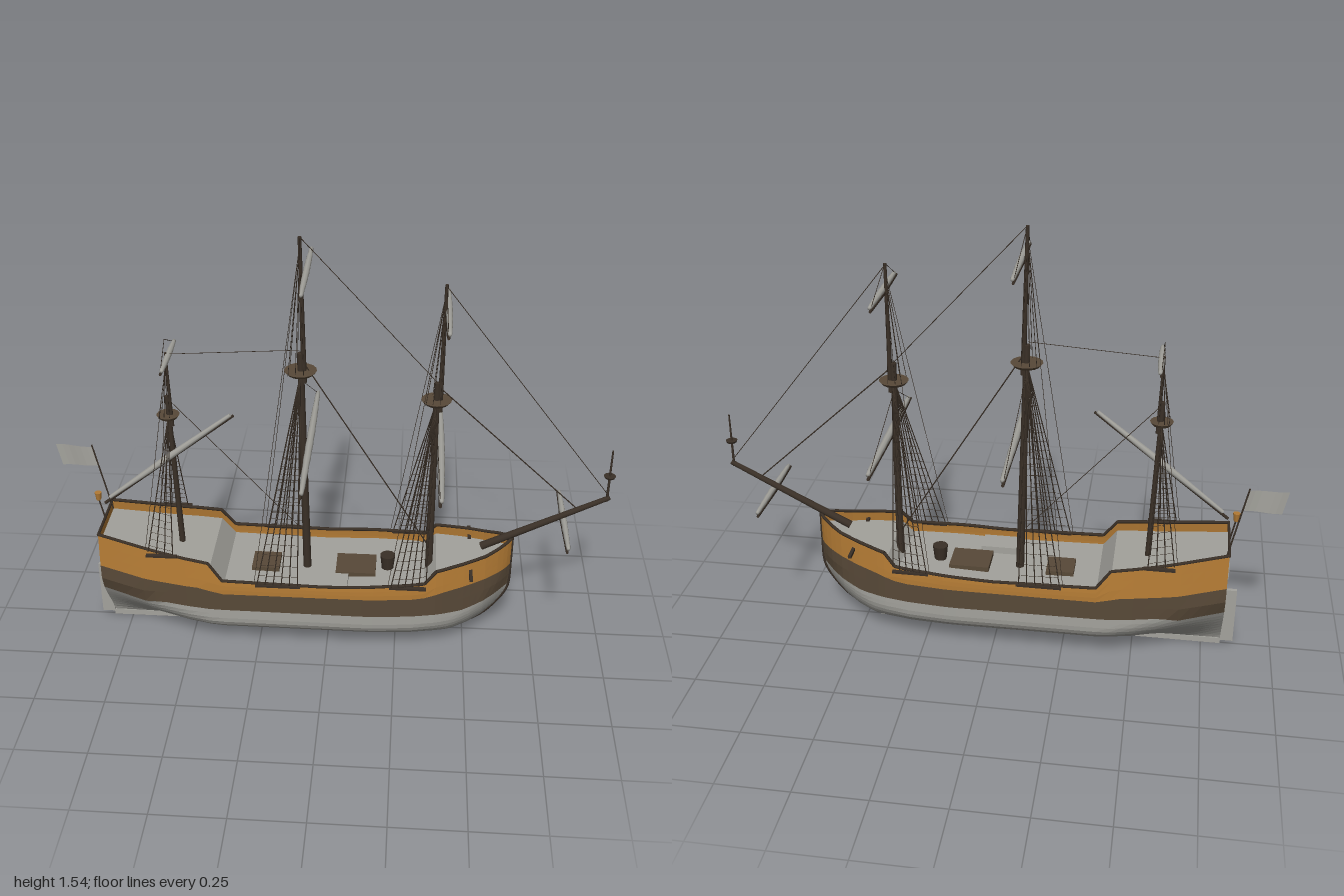
import * as THREE from 'three';
import { mergeGeometries } from 'three/addons/utils/BufferGeometryUtils.js';

const mat = (name, color, side = THREE.DoubleSide) => {
  const m = new THREE.MeshStandardMaterial({ color, side });
  m.name = name;
  return m;
};
const V = (x, y, z) => new THREE.Vector3(x, y, z);

// Linear interpolation through [x, value] pairs
const curve = (pts) => (x) => {
  for (let i = 1; i < pts.length; i++) {
    const [x0, a] = pts[i - 1], [x1, b] = pts[i];
    if (x <= x1) return a + (b - a) * Math.max(0, (x - x0) / (x1 - x0));
  }
  return pts[pts.length - 1][1];
};

// Hull lines, stern at -x and bow at +x
const STERN = -0.82, BOW = 0.66;
const rail = curve([[-0.82, 0.44], [-0.6, 0.4], [-0.42, 0.375], [-0.37, 0.308], [0, 0.3], [0.35, 0.315], [0.39, 0.362], [0.57, 0.39], [0.66, 0.42]]);
const goldLow = curve([[-0.82, 0.315], [-0.65, 0.285], [-0.45, 0.275], [-0.38, 0.255], [0.34, 0.255], [0.42, 0.275], [0.66, 0.31]]);
const darkLow = curve([[-0.82, 0.205], [-0.66, 0.18], [-0.6, 0.195], [-0.42, 0.185], [0.3, 0.18], [0.48, 0.18], [0.66, 0.22]]);
const keelY = curve([[-0.82, 0.018], [0.45, 0.018], [0.52, 0.045], [0.57, 0.08], [0.61, 0.125], [0.64, 0.17], [0.66, 0.22]]);
const beam = curve([[-0.82, 0.133], [-0.65, 0.162], [-0.5, 0.183], [-0.4, 0.191], [0.15, 0.191], [0.3, 0.177], [0.4, 0.158], [0.5, 0.122], [0.57, 0.088], [0.62, 0.053], [0.65, 0.022], [0.66, 0.004]]);
const turn = curve([[-0.82, 0.27], [-0.6, 0.18], [-0.4, 0.125], [0.3, 0.125], [0.66, 0.16]]);
const power = curve([[-0.82, 1.3], [-0.5, 0.85], [0.66, 0.75]]);
const halfBeam = (x, y) => {
  const u = Math.min(1, Math.max(0, (y - keelY(x)) / turn(x)));
  return beam(x) * Math.sin(Math.PI / 2 * u ** power(x)) * (1 - 0.6 * Math.max(0, y - 0.28));
};
const deckY = (x) => rail(x) - 0.042;

// Faceted surface from a rule f(u, v) -> [x, y, z]
function surface(f, us, vs) {
  const pos = [];
  for (let i = 0; i < us.length - 1; i++) for (let j = 0; j < vs.length - 1; j++) {
    const a = f(us[i], vs[j]), b = f(us[i + 1], vs[j]), c = f(us[i + 1], vs[j + 1]), d = f(us[i], vs[j + 1]);
    pos.push(...a, ...b, ...c, ...a, ...c, ...d);
  }
  const g = new THREE.BufferGeometry();
  g.setAttribute('position', new THREE.Float32BufferAttribute(pos, 3));
  g.computeVertexNormals();
  return g;
}
const steps = (a, b, n) => Array.from({ length: n + 1 }, (_, i) => a + (b - a) * i / n);

// Tapered round bar between two points
function bar(a, b, r0, r1 = r0, sides = 8) {
  const d = b.clone().sub(a);
  const g = new THREE.CylinderGeometry(r1, r0, d.length(), sides);
  g.applyQuaternion(new THREE.Quaternion().setFromUnitVectors(V(0, 1, 0), d.normalize()));
  const c = a.clone().add(b).multiplyScalar(0.5);
  return g.translate(c.x, c.y, c.z);
}

export function createModel() {
  const grey = mat('pale grey', 0xa3a29c);
  const gold = mat('ochre', 0xb27a34);
  const brown = mat('dark brown', 0x584938);
  const dark = mat('black brown', 0x3a3027);
  const root = new THREE.Group();
  root.name = 'sailingShip';
  const add = (name, geo, material, x = 0, y = 0, z = 0) => {
    const m = new THREE.Mesh(geo, material);
    m.name = name;
    m.position.set(x, y, z);
    root.add(m);
    return m;
  };
  const box = (name, m, w, h, d, x, y, z) => add(name, new THREE.BoxGeometry(w, h, d), m, x, y, z);

  // Hull in three painted bands, each with both sides and its piece of transom
  const stations = [...steps(STERN, -0.42, 10), ...steps(-0.37, 0.35, 16), ...steps(0.39, 0.59, 8), 0.61, 0.63, 0.645, 0.655, BOW];
  const band = (name, lo, hi, rows, m) => {
    const yAt = (x, v) => { const l = Math.max(lo(x), keelY(x)); return l + (Math.max(hi(x), l) - l) * v; };
    const vs = steps(0, 1, rows);
    const parts = [1, -1].map((s) => surface((x, v) => {
      const y = yAt(x, v);
      return [x, y, s * halfBeam(x, y)];
    }, s > 0 ? stations : [...stations].reverse(), vs));
    parts.push(surface((u, v) => {
      const y = yAt(STERN, v);
      return [STERN, y, u * halfBeam(STERN, y)];
    }, [-1, 0, 1], vs));
    add(name, mergeGeometries(parts), m);
  };
  band('lowerHull', keelY, darkLow, 9, grey);
  band('hullWale', darkLow, goldLow, 2, brown);
  band('upperHull', goldLow, rail, 3, gold);
  add('deck', surface((x, u) => [x, deckY(x), u * (halfBeam(x, deckY(x)) - 0.003)], stations, [1, -1]), grey);

  // Rail cap, keel, stem and rudder
  const cap = [1, -1].flatMap((s) => stations.slice(1).map((x, i) => {
    const p = (t) => V(t, rail(t), s * (halfBeam(t, rail(t)) - 0.004));
    return bar(p(stations[i]), p(x), 0.006, 0.006, 6);
  }));
  const sw = halfBeam(STERN, 0.44);
  cap.push(bar(V(STERN, 0.44, -sw), V(STERN, 0.44, sw), 0.005, 0.005, 6));
  add('railCap', mergeGeometries(cap), dark);
  box('keel', grey, 1.27, 0.022, 0.012, -0.185, 0.011, 0);
  const stem = [0.45, 0.52, 0.57, 0.61, 0.64, 0.657].map((x) => V(x, keelY(x), 0)).concat(V(0.66, 0.32, 0), V(0.66, 0.42, 0));
  add('stem', new THREE.TubeGeometry(new THREE.CatmullRomCurve3(stem), 24, 0.006, 6), dark);
  box('rudder', grey, 0.046, 0.215, 0.014, -0.842, 0.123, 0);
  for (let i = -1.5; i <= 1.5; i++) box('sternWindow', grey, 0.006, 0.045, 0.034, STERN - 0.002, 0.355, i * 0.052);

  // Deck fittings
  box('aftHatch', brown, 0.1, 0.02, 0.1, -0.23, deckY(-0.23) + 0.006, 0);
  box('mainHatch', brown, 0.145, 0.02, 0.12, 0.1, deckY(0.1) + 0.006, 0);
  box('deckChest', grey, 0.15, 0.03, 0.085, 0, deckY(0) + 0.012, 0.118);
  add('capstan', new THREE.CylinderGeometry(0.028, 0.022, 0.055, 10), dark, 0.215, deckY(0.215) + 0.027, 0);
  for (const s of [1, -1]) {
    box('cathead', dark, 0.012, 0.01, 0.075, 0.512, 0.345, s * 0.133);
    box('mizzenChannel', dark, 0.11, 0.008, 0.014, -0.585, 0.395, s * 0.168);
    box('mainChannel', dark, 0.16, 0.008, 0.014, -0.17, 0.3, s * 0.189);
    box('foreChannel', dark, 0.13, 0.008, 0.014, 0.29, 0.305, s * 0.178);
  }

  const thin = [], thick = [];
  const rope = (a, b, r = 0.0011) => thin.push(bar(a, b, r, r, 4));

  // Yard across the ship with a furled sail on top
  const yard = (name, x, y, half, r) => {
    add(name, mergeGeometries([1, -1].map((s) => bar(V(x, y - 0.005, 0), V(x, y - 0.005, s * half), r, r * 0.55))), dark);
    const lumps = steps(-0.96, 0.96, 16).map((t, i) => new THREE.Vector2(r * (1.25 - 0.6 * t * t + (i % 2) * 0.12), t * half));
    add('furledSail', new THREE.LatheGeometry([new THREE.Vector2(0, -half * 0.96), ...lumps, new THREE.Vector2(0, half * 0.96)], 8).rotateX(Math.PI / 2), grey, x + 0.004, y + 0.004, 0);
  };

  // Masts: foot, lower head, top platform, pole, and shroud feet
  const masts = [
    { name: 'main', foot: [-0.08, 0.25], head: [-0.097, 1.13], top: 1.06, tr: 0.056, pole: [-0.095, 1.54], r: 0.015, feet: [-0.245, -0.1], n: 6, yards: [[-0.078, 1.42, 0.21], [-0.07, 0.793, 0.37]] },
    { name: 'fore', foot: [0.365, 0.28], head: [0.365, 1.035], top: 0.965, tr: 0.052, pole: [0.38, 1.39], r: 0.014, feet: [0.23, 0.355], n: 6, yards: [[0.388, 1.293, 0.19], [0.385, 0.758, 0.33]] },
    { name: 'mizzen', foot: [-0.54, 0.34], head: [-0.56, 0.95], top: 0.873, tr: 0.04, pole: [-0.555, 1.115], r: 0.011, feet: [-0.635, -0.545], n: 4, yards: [[-0.55, 1.1, 0.125]] },
  ];
  for (const m of masts) {
    const head = V(...m.head, 0), pole = V(...m.pole, 0);
    add(m.name + 'Mast', bar(V(...m.foot, 0), head, m.r, m.r * 0.75, 10), dark);
    add(m.name + 'Topmast', bar(V(head.x + 0.012, m.top - 0.04, 0), pole, m.r * 0.65, m.r * 0.4), dark);
    add(m.name + 'Top', new THREE.CylinderGeometry(m.tr, m.tr * 0.8, 0.012, 16), brown, head.x, m.top, 0);
    m.yards.forEach(([x, y, half], i) => {
      yard(m.name + (i ? 'LowerYard' : 'UpperYard'), x, y, half, i ? 0.01 : 0.0085);
      for (const s of [1, -1]) rope(V(x, y, s * half * 0.97), i ? V(head.x, m.top - 0.03, 0) : V(pole.x, pole.y + (m.n < 6 ? 0.05 : 0), 0));
    });
    // Shrouds and ratlines
    for (const s of [1, -1]) {
      const lines = steps(...m.feet, m.n - 1).map((x) => [V(x, rail(x) - 0.005, s * (halfBeam(x, rail(x)) + 0.003)), V(head.x, m.top - 0.01, s * 0.012)]);
      lines.forEach(([a, b]) => thick.push(bar(a, b, 0.0019, 0.0019, 4)));
      for (let t = 0.05; t < 0.8; t += 0.052)
        for (let i = 1; i < lines.length; i++) rope(lines[i - 1][0].clone().lerp(lines[i - 1][1], t), lines[i][0].clone().lerp(lines[i][1], t), 0.0009);
      for (const dx of [-0.7, -0.25, 0.25]) rope(V(head.x + dx * m.tr, m.top, s * m.tr * 0.7), V(pole.x, pole.y - 0.04, 0));
      // Long backstay from pole to rail
      const bx = m.feet[0] - 0.01;
      rope(V(bx, rail(bx), s * halfBeam(bx, rail(bx))), V(pole.x, pole.y - 0.03, 0), 0.0009);
    }
  }

  // Fore-and-aft stays
  rope(V(-0.095, 1.54, 0), V(0.37, 1.03, 0), 0.0013);
  rope(V(0.38, 1.385, 0), V(0.975, 0.62, 0), 0.0013);
  rope(V(-0.555, 1.11, 0), V(-0.1, 1.14, 0));
  rope(V(-0.55, 0.93, 0), V(-0.08, 0.4, 0), 0.0013);
  thick.push(bar(V(-0.09, 1.1, 0), V(0.36, 0.37, 0), 0.0022, 0.0022, 4), bar(V(0.37, 1.02, 0), V(0.88, 0.55, 0), 0.0022, 0.0022, 4));
  add('fineRigging', mergeGeometries(thin), dark);
  add('shroudsAndStays', mergeGeometries(thick), dark);

  // Slanting mizzen yard with furled sail
  add('lateenYard', bar(V(-0.81, 0.512, 0.016), V(-0.33, 0.89, 0.016), 0.006, 0.005), dark);
  const mid = V(-0.57, 0.711, 0.016);
  add('lateenSail', mergeGeometries([bar(mid, V(-0.79, 0.537, 0.016), 0.013, 0.007), bar(mid, V(-0.34, 0.892, 0.016), 0.013, 0.007)]), grey);

  // Bowsprit with its yard and little topmast
  add('bowsprit', bar(V(0.55, 0.378, 0), V(0.985, 0.605, 0), 0.015, 0.009, 10), dark);
  yard('spritYard', 0.83, 0.503, 0.195, 0.0085);
  add('spritTopmast', bar(V(0.976, 0.59, 0), V(0.976, 0.795, 0), 0.005, 0.003), dark);
  add('spritTop', new THREE.CylinderGeometry(0.021, 0.017, 0.008, 12), dark, 0.976, 0.69, 0);

  // Stern lantern and ensign
  add('lanternPost', bar(V(STERN, 0.43, 0), V(-0.838, 0.52, 0), 0.003), dark);
  add('lantern', new THREE.CylinderGeometry(0.013, 0.009, 0.03, 8), gold, -0.838, 0.53, 0);
  add('flagStaff', bar(V(-0.812, 0.42, -0.088), V(-0.868, 0.69, -0.088), 0.003), dark);
  add('flag', surface((u, v) => [-0.865 - 0.135 * u + 0.018 * (1 - v), 0.605 + 0.078 * v + 0.008 * u * v - 0.002 * u, -0.088 + 0.004 * Math.sin(u * 6)], steps(0, 1, 6), [0, 1]), grey);
  return root;
}
